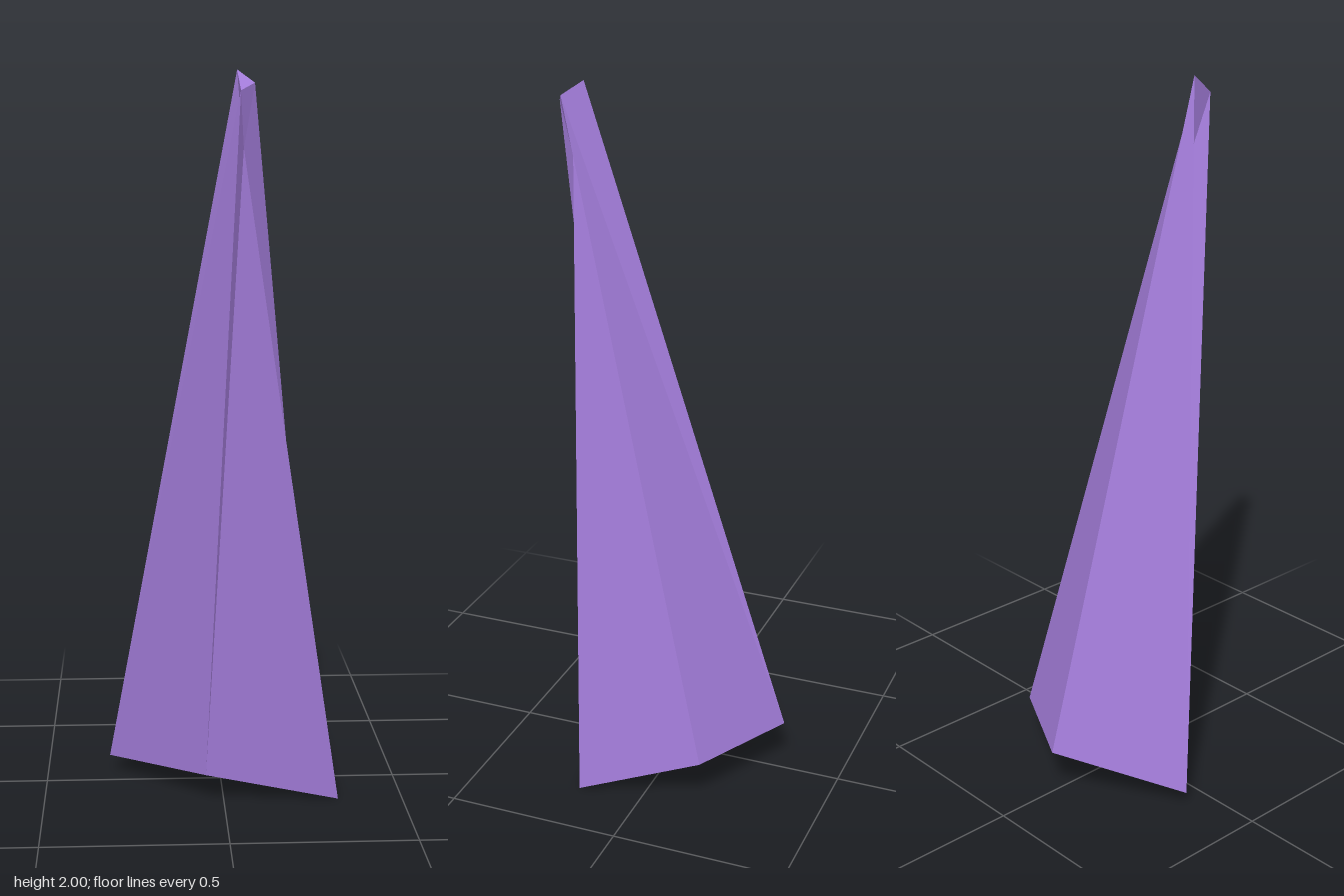
import * as THREE from 'three';

// Matching five-sided cross-sections, clockwise as seen from above
const BASE = [
  [-0.32, 0.045, -0.085],
  [-0.015, 0.142, -0.327],
  [0.275, 0.137, -0.17],
  [0.32, 0.0, 0.185],
  [-0.05, 0.075, 0.185],
];
// Two tip corners are chipped, so they sit lower and further in
const TIP = [
  [0.055, 1.7, 0.235],
  [0.03, 2.0, 0.257],
  [0.073, 1.965, 0.305],
  [0.046, 1.8, 0.285],
  [0.036, 1.945, 0.325],
];
// Sides whose crease rises from the first base corner to the second tip corner
const RISING_CREASE = [true, true, true, false, false];

function createShardGeometry() {
  const n = BASE.length;
  const index = [];
  // Tapering sides
  for (let i = 0; i < n; i++) {
    const j = (i + 1) % n;
    if (RISING_CREASE[i]) index.push(i, n + i, n + j, i, n + j, j);
    else index.push(i, n + i, j, n + i, n + j, j);
  }
  // Slanted underside
  for (let i = 1; i < n - 1; i++) index.push(0, i, i + 1);
  // Broken tip, fanned from its front corner
  for (let i = 0; i < n - 2; i++) index.push(2 * n - 1, n + i + 1, n + i);

  const indexed = new THREE.BufferGeometry();
  indexed.setAttribute('position', new THREE.Float32BufferAttribute([...BASE, ...TIP].flat(), 3));
  indexed.setIndex(index);
  const geometry = indexed.toNonIndexed();
  geometry.computeVertexNormals();
  return geometry;
}

export function createModel() {
  const purple = new THREE.MeshStandardMaterial({
    name: 'crystalPurple',
    color: 0xa07ad6,
    flatShading: true,
    side: THREE.DoubleSide,
  });
  const shard = new THREE.Mesh(createShardGeometry(), purple);
  shard.name = 'crystalShard';

  const model = new THREE.Group();
  model.name = 'crystal';
  model.add(shard);
  return model;
}
